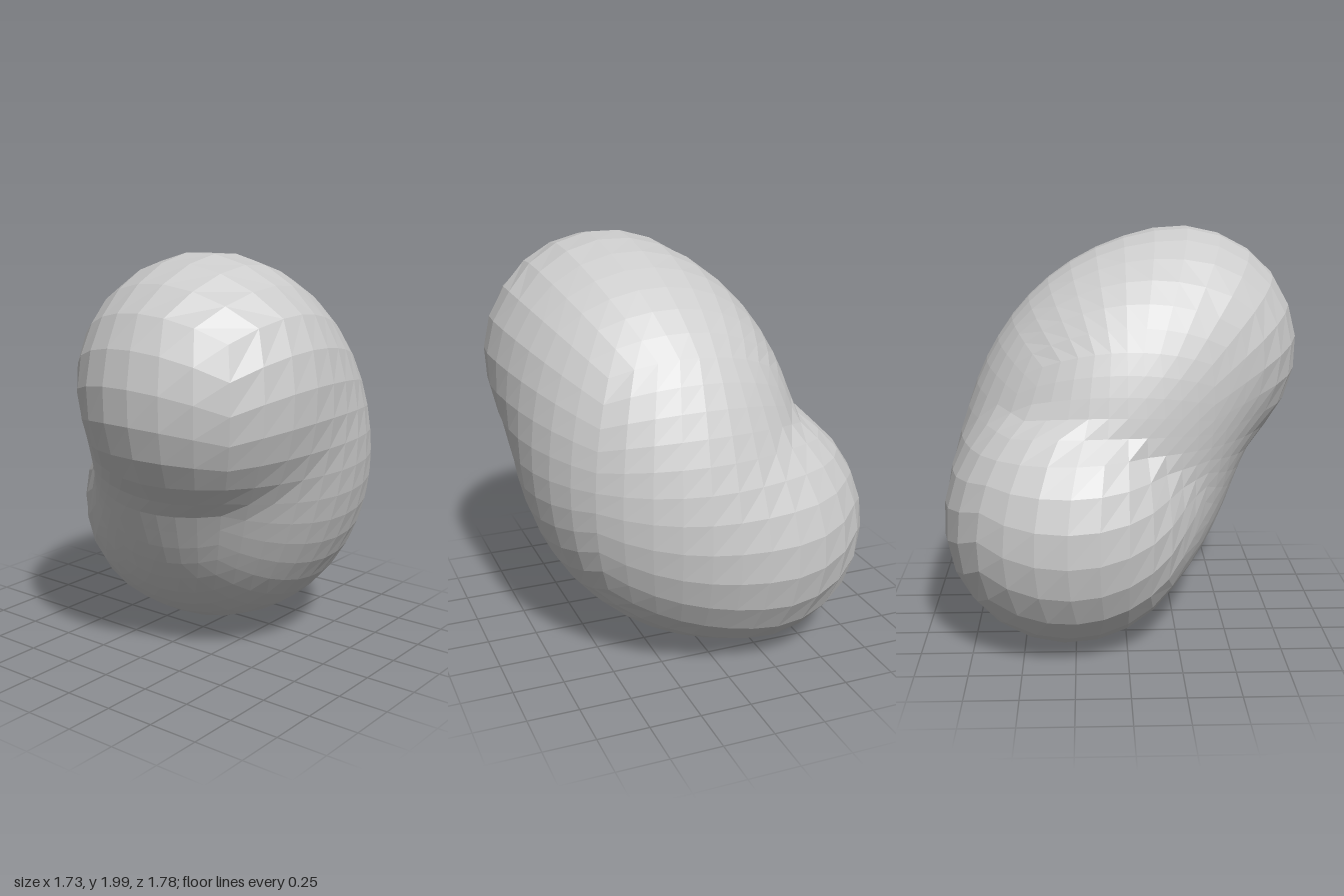
import * as THREE from 'three';

// Spine of the bean: a straight run between the lobes, bowed to the bulging side
// and swaying a little in an S on its way
const halfSpine = new THREE.Vector3(0.25, 0.385, 0.278);
const bow = new THREE.Vector3(0.112, -0.015, -0.09);
const sway = new THREE.Vector3(-0.045, 0.04, -0.022);
const balls = [];
const STEPS = 40;
for (let i = 0; i <= STEPS; i++) {
  const u = (2 * i) / STEPS - 1;
  const k = 1 - u * u;
  balls.push({
    center: halfSpine.clone().multiplyScalar(u)
      .addScaledVector(bow, k)
      .addScaledVector(sway, Math.sin(Math.PI * u)),
    radius: 0.615 + 0.09 * k, // thicker at the middle
  });
}

// Distance from the middle to the skin of the swept balls, along a unit direction
function skinDistance(d) {
  let far = 0;
  for (const { center, radius } of balls) {
    const along = center.dot(d);
    const exit = along + Math.sqrt(along * along - center.lengthSq() + radius * radius);
    far = Math.max(far, exit);
  }
  return far;
}

export function createModel() {
  const group = new THREE.Group();

  // Evenly divided cube, rounded to a sphere and pushed out to the skin
  const geo = new THREE.BoxGeometry(2, 2, 2, 10, 10, 10);
  const pos = geo.attributes.position;
  const d = new THREE.Vector3();
  const warp = (t) => Math.tan((t * Math.PI) / 4);
  for (let i = 0; i < pos.count; i++) {
    d.set(warp(pos.getX(i)), warp(pos.getY(i)), warp(pos.getZ(i))).normalize();
    d.multiplyScalar(skinDistance(d));
    pos.setXYZ(i, d.x, d.y + 1, d.z);
  }
  geo.computeVertexNormals();

  const bean = new THREE.Mesh(geo, new THREE.MeshStandardMaterial({ color: 0xcccccc, flatShading: true }));
  bean.name = 'beanBody';
  group.add(bean);
  return group;
}
